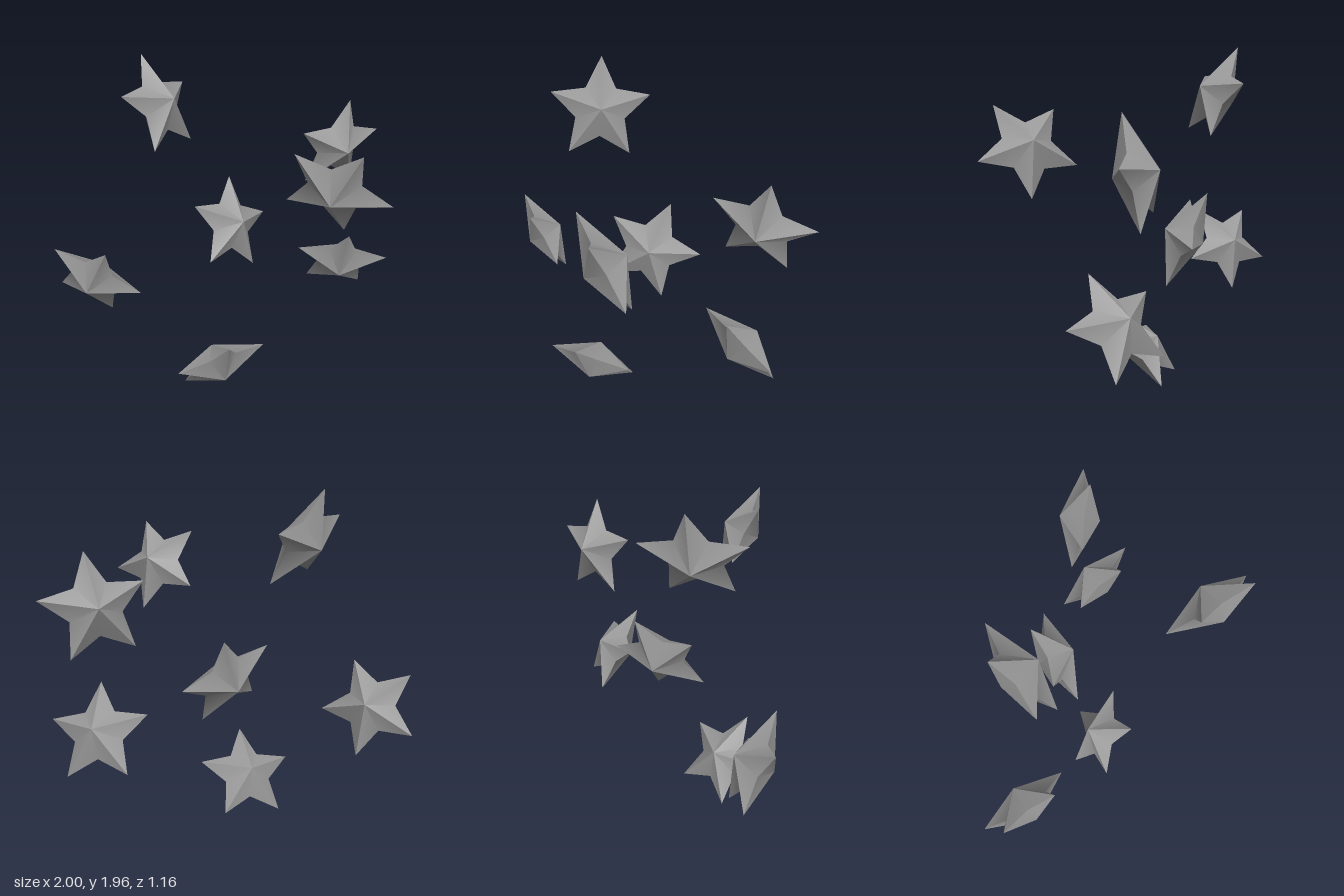
import * as THREE from 'three';
import { toCreasedNormals } from 'three/addons/utils/BufferGeometryUtils.js';

const OUTER = 0.291, INNER = 0.145, HEIGHT = 0.115;

// Five-pointed star, raised to an apex on both faces; one tip along +y, faces along z.
// Ridges and rim stay sharp, the valleys between the arms are smooth.
function starGeometry() {
  const rim = i => {
    const a = Math.PI / 2 + (i * Math.PI) / 5;
    const r = i % 2 ? INNER : OUTER;
    return [r * Math.cos(a), r * Math.sin(a), 0];
  };
  const positions = [];
  for (let i = 0; i < 10; i++) {
    const a = rim(i), b = rim((i + 1) % 10);
    positions.push(...a, ...b, 0, 0, HEIGHT); // front facet
    positions.push(...b, ...a, 0, 0, -HEIGHT); // back facet
  }
  const geometry = new THREE.BufferGeometry();
  geometry.setAttribute('position', new THREE.Float32BufferAttribute(positions, 3));
  return toCreasedNormals(geometry, THREE.MathUtils.degToRad(42));
}

// Each star: name, centre, direction of one tip, direction its face looks
const STARS = [
  ['topStar', [-0.375, 1.703, -0.173], [-0.095, 0.262, -0.077], [0.78, 0.42, 0.46]],
  ['upperFrontStar', [0.537, 1.431, 0.426], [0.097, 0.226, 0.154], [-0.33, -0.43, 0.84]],
  ['upperBackStar', [0.666, 1.38, -0.457], [0.053, 0.283, 0.037], [0.47, -0.2, 0.86]],
  ['middleStar', [0.023, 0.949, -0.25], [-0.01, 0.246, -0.14], [0.66, 0.39, 0.64]],
  ['rightStar', [-0.772, 0.717, 0.007], [0.097, 0.226, 0.154], [-0.33, -0.43, 0.84]],
  ['leftStar', [0.713, 0.645, -0.374], [0.022, 0.238, 0.164], [-0.09, -0.56, 0.82]],
  ['bottomStar', [-0.052, 0.193, 0.105], [0.065, 0.214, 0.185], [0.37, -0.67, 0.65]],
];

export function createModel() {
  const group = new THREE.Group();
  group.name = 'starCluster';
  const geometry = starGeometry();
  const material = new THREE.MeshStandardMaterial({ color: 0x999999 });

  for (const [name, centre, tip, face] of STARS) {
    const star = new THREE.Mesh(geometry, material);
    star.name = name;
    star.position.set(...centre);
    const y = new THREE.Vector3(...tip).normalize();
    const x = new THREE.Vector3().crossVectors(y, new THREE.Vector3(...face)).normalize();
    const z = new THREE.Vector3().crossVectors(x, y);
    star.quaternion.setFromRotationMatrix(new THREE.Matrix4().makeBasis(x, y, z));
    group.add(star);
  }
  return group;
}
